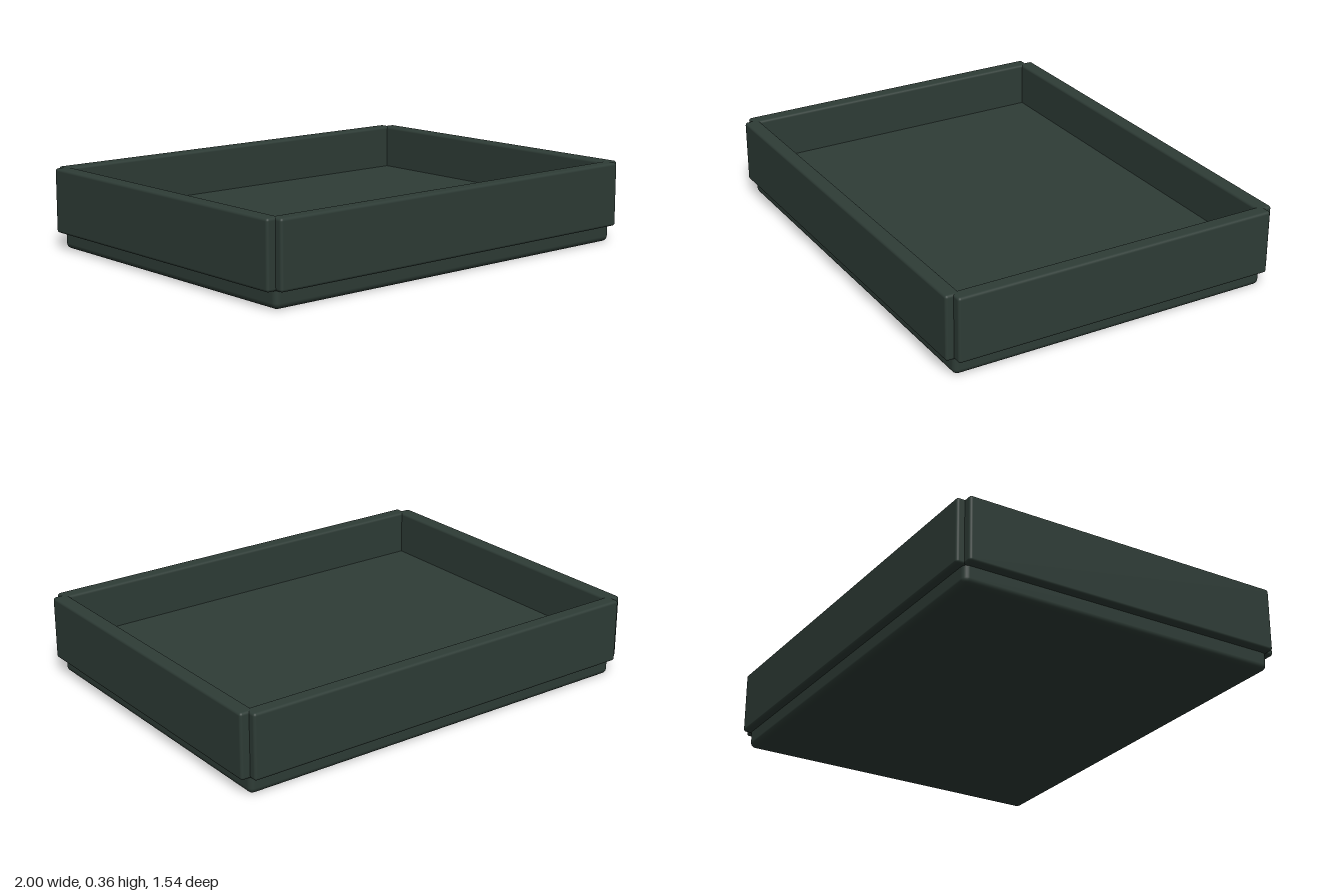
import * as THREE from 'three';
import { RoundedBoxGeometry } from 'three/addons/geometries/RoundedBoxGeometry.js';

export function createModel() {
  const model = new THREE.Group();
  model.name = 'tray';
  const darkGreen = new THREE.MeshStandardMaterial({ color: 0x2e3c36 });
  darkGreen.name = 'darkGreen';

  // Softly rounded slab placed by its centre
  function slab(name, size, position, radius) {
    const mesh = new THREE.Mesh(new RoundedBoxGeometry(...size, 3, radius), darkGreen);
    mesh.name = name;
    mesh.position.set(...position);
    model.add(mesh);
  }

  const wallHeight = 0.285, wallY = 0.2175, thickness = 0.067;

  // Thick base: its top is the tray floor, its lower edge a recessed plinth
  slab('base', [1.92, 0.16, 1.475], [0, 0.08, 0], 0.025);

  // Four walls that step in at the corners
  for (const s of [1, -1]) {
    slab(s > 0 ? 'frontWall' : 'backWall', [1.92, wallHeight, thickness],
      [0, wallY, s * (0.772 - thickness / 2)], 0.012);
    slab(s > 0 ? 'leftWall' : 'rightWall', [thickness, wallHeight, 1.475],
      [s * (1 - thickness / 2), wallY, 0], 0.012);
  }
  return model;
}
